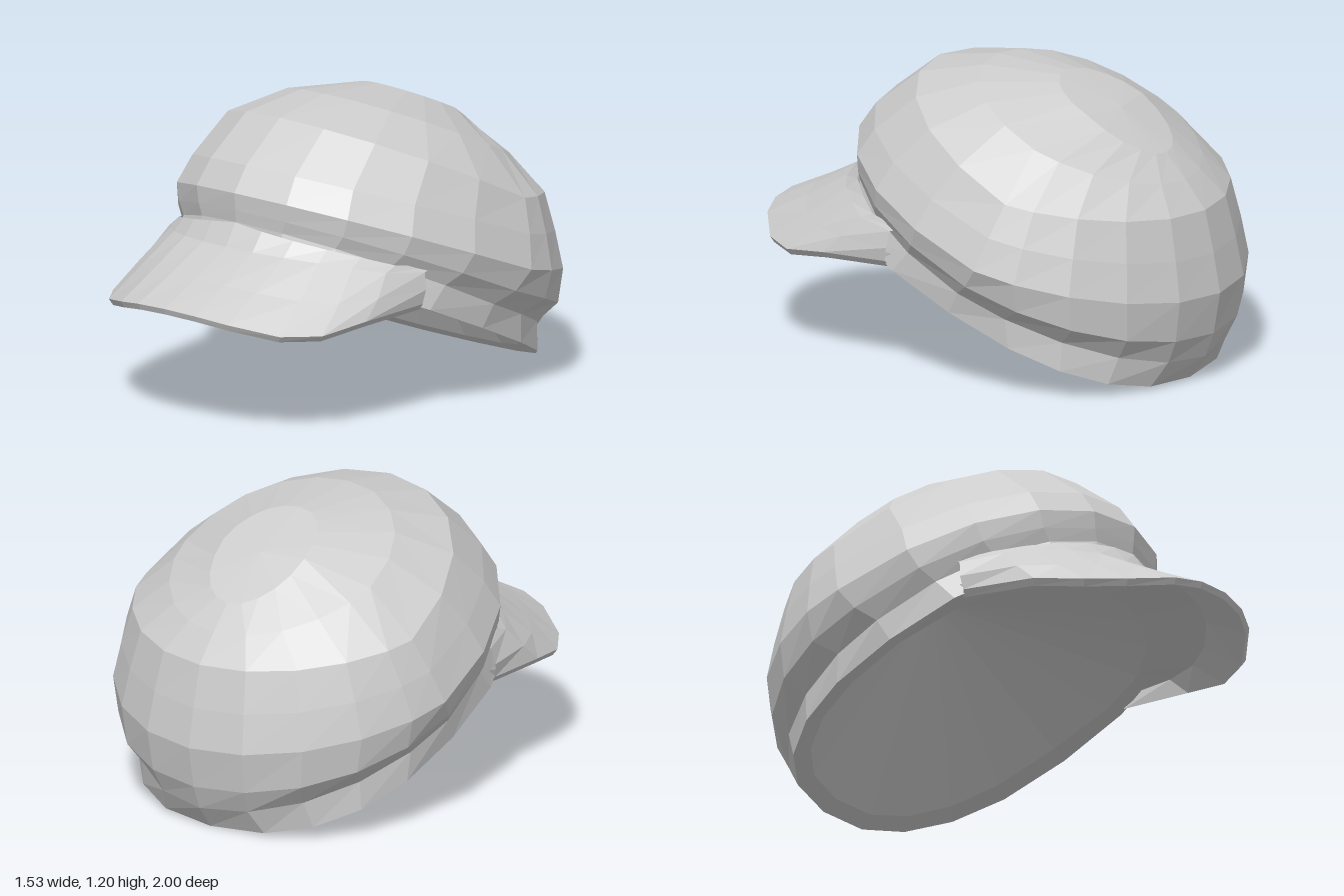
import * as THREE from 'three';

const SIDES = 20;
const material = new THREE.MeshStandardMaterial({ color: 0xcccccc, flatShading: true, side: THREE.DoubleSide });

// Skin of quads between successive rows of points
function loft(name, rows) {
  const pos = [];
  const tri = (...pts) => pts.forEach((p) => pos.push(...p));
  for (let i = 0; i < rows.length - 1; i++) {
    for (let j = 0; j < rows[i].length - 1; j++) {
      const a = rows[i][j], b = rows[i][j + 1], c = rows[i + 1][j + 1], d = rows[i + 1][j];
      tri(a, b, c);
      tri(a, c, d);
    }
  }
  const geo = new THREE.BufferGeometry();
  geo.setAttribute('position', new THREE.Float32BufferAttribute(pos, 3));
  geo.computeVertexNormals();
  const mesh = new THREE.Mesh(geo, material);
  mesh.name = name;
  return mesh;
}

// Tilted egg-shaped ring: half width, then [z, y] of its front, widest side and back,
// how pointed the back is, and how square the whole ring is (1 = round)
function ring([half, front, side, back, taper = 1.2, square = 1]) {
  const row = [];
  for (let j = 0; j <= SIDES; j++) {
    const t = (j / SIDES) * Math.PI * 2;
    const c = Math.cos(t), s = Math.sin(t);
    const end = c > 0 ? front : back;
    const k = Math.pow(Math.abs(c), (c > 0 ? 0.95 : taper) * square);
    row.push([
      half * Math.sign(s) * Math.pow(Math.abs(s), square),
      side[1] + (end[1] - side[1]) * k,
      side[0] + (end[0] - side[0]) * k,
    ]);
  }
  return row;
}

// Mirror a half curve that starts on the centre line
function mirrored(half) {
  return [...half.slice(1).reverse().map(([x, y, z]) => [-x, y, z]), ...half];
}

export function createModel() {
  const group = new THREE.Group();
  group.name = 'cap';

  const rimInner = [0.585, [0.53, 0.6], [-0.15, 0.34], [-0.8, 0.045], 1, 0.85];
  const rimOuter = [0.665, [0.58, 0.64], [-0.15, 0.32], [-0.86, 0.005], 1, 0.85];
  const bandTop = [0.68, [0.57, 0.78], [-0.2, 0.41], [-0.93, 0.1], 1.1];

  // Hollow inside of the cap, a cone
  group.add(loft('lining', [
    [0, [-0.35, 0.8], [-0.35, 0.8], [-0.35, 0.8]],
    rimInner,
  ].map(ring)));

  // Head band with its thick bottom rim
  group.add(loft('band', [rimInner, rimOuter, bandTop].map(ring)));

  // Puffed crown, from the undercut above the band to the top
  group.add(loft('crown', [
    bandTop,
    [0.735, [0.575, 0.83], [-0.27, 0.46], [-0.97, 0.2], 1],
    [0.765, [0.58, 0.9], [-0.33, 0.54], [-1, 0.37]],
    [0.72, [0.51, 1.0], [-0.37, 0.67], [-0.97, 0.53], 1.25],
    [0.66, [0.31, 1.155], [-0.41, 0.8], [-0.93, 0.7], 1.3],
    [0.46, [0.04, 1.2], [-0.42, 0.98], [-0.84, 0.81], 1.2],
    [0.2, [-0.28, 1.18], [-0.51, 1.07], [-0.75, 0.91], 1],
    [0, [-0.54, 1.065], [-0.54, 1.065], [-0.54, 1.065]],
  ].map(ring)));

  // Visor: crease line near the band and free edge, with a bowed row between them
  const inner = mirrored([
    [0, 0.69, 0.63], [0.13, 0.688, 0.62], [0.26, 0.68, 0.58], [0.38, 0.665, 0.51],
    [0.48, 0.645, 0.42], [0.57, 0.62, 0.32], [0.625, 0.6, 0.15],
  ]);
  const outer = mirrored([
    [0, 0.51, 1], [0.15, 0.502, 0.985], [0.28, 0.48, 0.94], [0.45, 0.437, 0.82],
    [0.55, 0.43, 0.68], [0.605, 0.46, 0.48], [0.63, 0.475, 0.17],
  ]);
  const middle = inner.map((p, j) => {
    const q = outer[j];
    const bow = 1 + 0.03 * Math.abs(q[0]);
    return [(p[0] + q[0]) / 2 * bow, (p[1] + q[1]) / 2 - 0.005, (p[2] + q[2]) / 2];
  });
  const under = (row) => row.map(([x, y, z]) => [x * 0.97, y - 0.025, z - 0.01]);
  // The top runs up to the band and the underside runs back into the lining
  const topRoot = inner.map(([x, y, z]) => [x, y + 0.09 - 0.12 * Math.abs(x), z - 0.055]);
  const underRoot = inner.map(([x, y, z]) => [x * 0.95, y - 0.11 - 0.05 * Math.abs(x), z - 0.1]);
  group.add(loft('visor', [underRoot, under(middle), under(outer), outer, middle, inner, topRoot]));

  return group;
}
